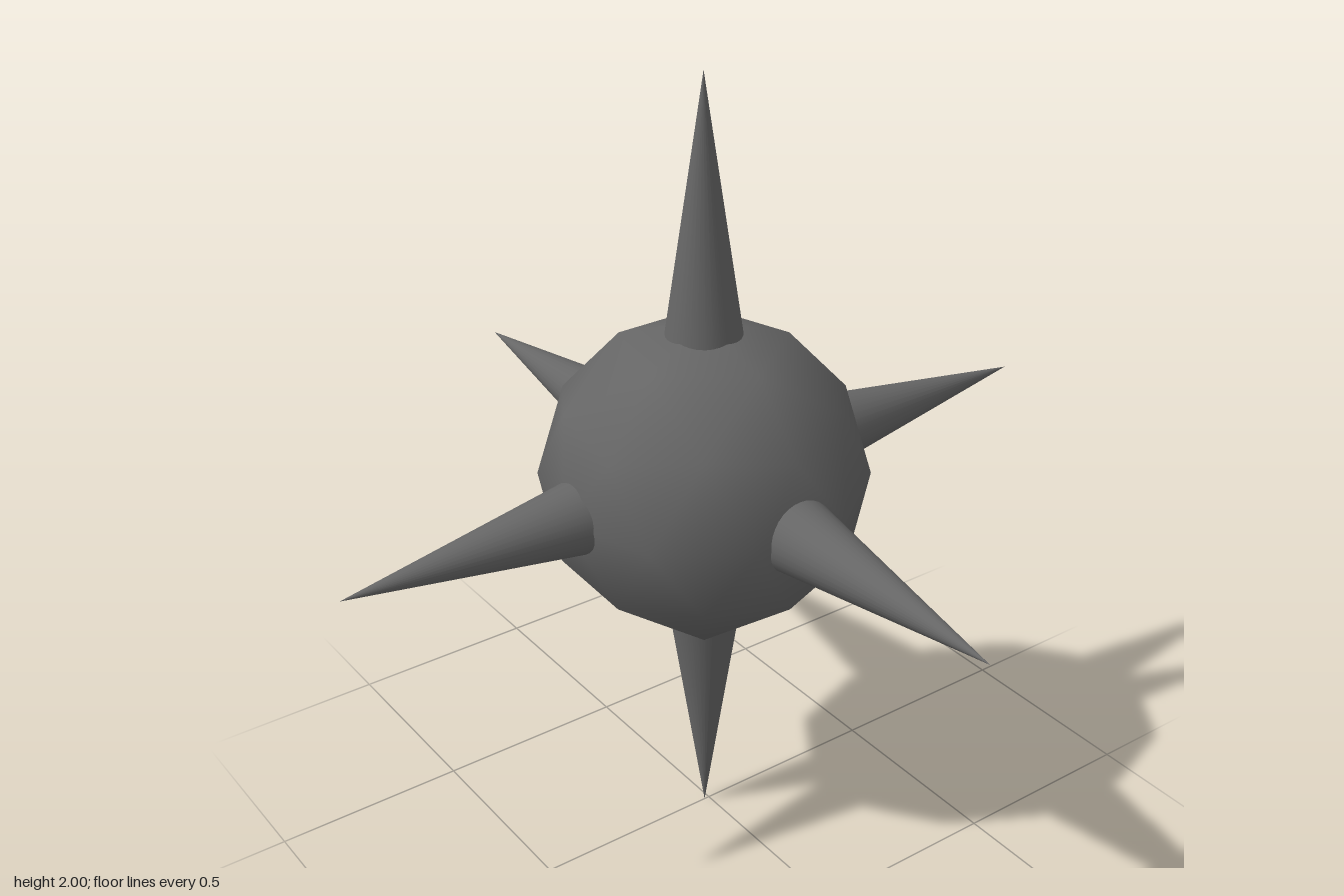
import * as THREE from 'three';

export function createModel() {
  const model = new THREE.Group();
  model.name = 'spikedBall';
  const iron = new THREE.MeshStandardMaterial({ color: 0x666666 });
  iron.name = 'dark iron';

  const centre = new THREE.Vector3(0, 1, 0.014);

  // Ball: subdivided icosahedron turned so that one corner points straight up
  const ballGeometry = new THREE.IcosahedronGeometry(0.404, 1);
  ballGeometry.rotateZ(-Math.atan2(1, (1 + Math.sqrt(5)) / 2));
  const ball = new THREE.Mesh(ballGeometry, iron);
  ball.name = 'ball';
  ball.position.copy(centre);
  model.add(ball);

  // Spikes: one cone shape with its tip at the origin, pointing along +y
  const length = 0.68;
  const spikeGeometry = new THREE.ConeGeometry(0.1, length, 32);
  spikeGeometry.translate(0, -length / 2, 0);

  const up = new THREE.Vector3(0, 1, 0);
  const spikes = [
    ['topSpike', 0, 1, 0, 1],
    ['bottomSpike', 0, -1, 0, 1],
    ['leftSpike', 1, 0, 0, 1],
    ['rightSpike', -1, 0, 0, 1],
    ['frontSpike', 0, 0, 1, 0.972],
    ['backSpike', 0, 0, -1, 1],
  ];
  for (const [name, x, y, z, reach] of spikes) {
    const direction = new THREE.Vector3(x, y, z);
    const spike = new THREE.Mesh(spikeGeometry, iron);
    spike.name = name;
    spike.quaternion.setFromUnitVectors(up, direction);
    spike.position.copy(centre).addScaledVector(direction, reach);
    model.add(spike);
  }
  return model;
}
